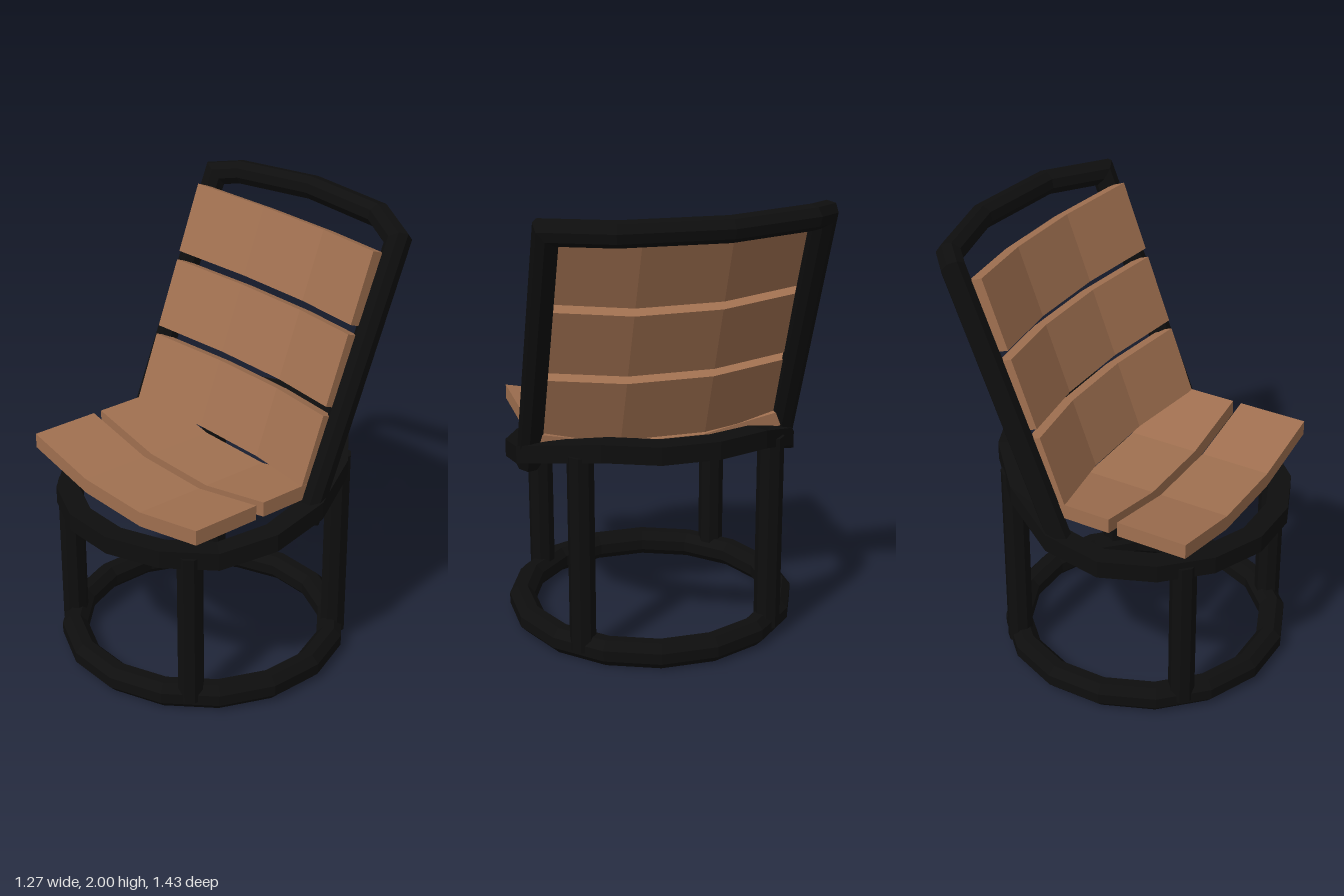
import * as THREE from 'three';

const frameBlack = new THREE.MeshStandardMaterial({ color: 0x0e0e0e });
const woodBrown = new THREE.MeshStandardMaterial({ color: 0xa07050 });

// Faceted skin through a row of cross-sections (arrays of Vector3)
function loft(sections, closed) {
  const pos = [], n = sections[0].length, m = sections.length;
  const tri = (...pts) => pts.forEach(p => pos.push(p.x, p.y, p.z));
  for (let i = 0; i < (closed ? m : m - 1); i++) {
    const a = sections[i], b = sections[(i + 1) % m];
    for (let j = 0; j < n; j++) {
      const k = (j + 1) % n;
      tri(a[j], b[j], b[k]);
      tri(a[j], b[k], a[k]);
    }
  }
  if (!closed) {
    const a = sections[0], b = sections[m - 1];
    for (let j = 1; j < n - 1; j++) {
      tri(a[0], a[j], a[j + 1]);
      tri(b[0], b[j + 1], b[j]);
    }
  }
  const g = new THREE.BufferGeometry();
  g.setAttribute('position', new THREE.Float32BufferAttribute(pos, 3));
  g.computeVertexNormals();
  return g;
}

// Regular octagon with flat sides, given its half width and half height
function octagon(w, h) {
  return Array.from({ length: 8 }, (_, i) => {
    const a = (i + 0.5) * Math.PI / 4, s = 1 / Math.cos(Math.PI / 8);
    return [Math.cos(a) * w * s, Math.sin(a) * h * s];
  });
}

// Sixteen-sided hoop, with its own height at each corner
const CENTRE_Z = 0.08;
function hoop(radius, section, heights) {
  const step = Math.PI / 8, s = 1 / Math.cos(step / 2);
  return loft(heights.map((y, k) => {
    const a = (k + 0.5) * step;
    return section.map(([r, h]) => new THREE.Vector3(
      Math.sin(a) * (radius + r) * s, y + h, CENTRE_Z + Math.cos(a) * (radius + r) * s));
  }), true);
}

// Mitred bar along a polyline: each section slides along its segment to the next joint
function bar(points, section) {
  const p = points.map(v => new THREE.Vector3(...v));
  const dirs = p.slice(1).map((q, i) => q.clone().sub(p[i]).normalize());
  const v = new THREE.Vector3(-1, 0, 0);
  const u = dirs[0].clone().cross(v);
  let current = section.map(([a, b]) => p[0].clone().addScaledVector(u, a).addScaledVector(v, b));
  const sections = [current];
  dirs.forEach((d, i) => {
    const normal = d.clone().add(dirs[i + 1] || d).normalize();
    current = current.map(c => {
      const t = p[i + 1].clone().sub(c).dot(normal) / d.dot(normal);
      return c.clone().addScaledVector(d, t);
    });
    sections.push(current);
  });
  return loft(sections, false);
}

// Dished plank: raised at both ends, flat in the middle
function slatGeometry(half, length) {
  const dip = 0.075, thick = 0.067, mid = 0.19;
  const top = [[-half, 0], [-mid, -dip], [mid, -dip], [half, 0]];
  const bottom = top.map(([x, y]) => [x, y - thick]).reverse();
  const shape = new THREE.Shape([...top, ...bottom].map(q => new THREE.Vector2(...q)));
  return new THREE.ExtrudeGeometry(shape, { depth: length, bevelEnabled: false });
}

export function createModel() {
  const model = new THREE.Group();
  const add = (name, geometry, material) => {
    const mesh = new THREE.Mesh(geometry, material);
    mesh.name = name;
    model.add(mesh);
    return mesh;
  };

  // Floor hoop
  add('baseRing', hoop(0.58, octagon(0.056, 0.059), Array(16).fill(0.059)), frameBlack);

  // Seat hoop, level in front and swept up at the back
  const box = [[0.048, -0.04], [0.048, 0.04], [-0.048, 0.04], [-0.048, -0.04]];
  add('seatRing', hoop(0.587, box, [
    0.755, 0.755, 0.755, 0.80, 0.86, 0.94, 0.99, 0.99,
    0.99, 0.98, 0.91, 0.80, 0.755, 0.755, 0.755, 0.755]), frameBlack);

  // Four legs between the hoops
  for (const side of [-1, 1]) {
    for (const [name, z, top] of [['frontLeg', 0.5, 0.765], ['backLeg', -0.34, 0.95]]) {
      const g = new THREE.CylinderGeometry(0.058, 0.058, top - 0.05, 8).toNonIndexed();
      g.rotateY(Math.PI / 8);
      g.computeVertexNormals();
      add(name, g, frameBlack).position.set(side * 0.42, (top + 0.05) / 2, z);
    }
  }

  // Leaning back frame with a bowed top rail
  add('backFrame', bar([
    [-0.575, 0.80, -0.01], [-0.575, 1.94, -0.48], [-0.49, 1.95, -0.56], [-0.12, 1.95, -0.66],
    [0.325, 1.95, -0.625], [0.575, 1.94, -0.48], [0.575, 0.80, -0.01],
  ], octagon(0.05, 0.05)), frameBlack);

  // Seat slats
  for (const z of [0.26, -0.10]) {
    add('seatSlat', slatGeometry(0.558, 0.32), woodBrown).position.set(0, 0.965, z);
  }

  // Back slats, stacked down the lean
  for (let i = 0; i < 3; i++) {
    const slat = add('backSlat', slatGeometry(0.556, 0.315), woodBrown);
    slat.rotation.x = THREE.MathUtils.degToRad(69);
    slat.position.set(0, 1.92 - i * 0.332, -0.36 + i * 0.126);
  }

  return model;
}
